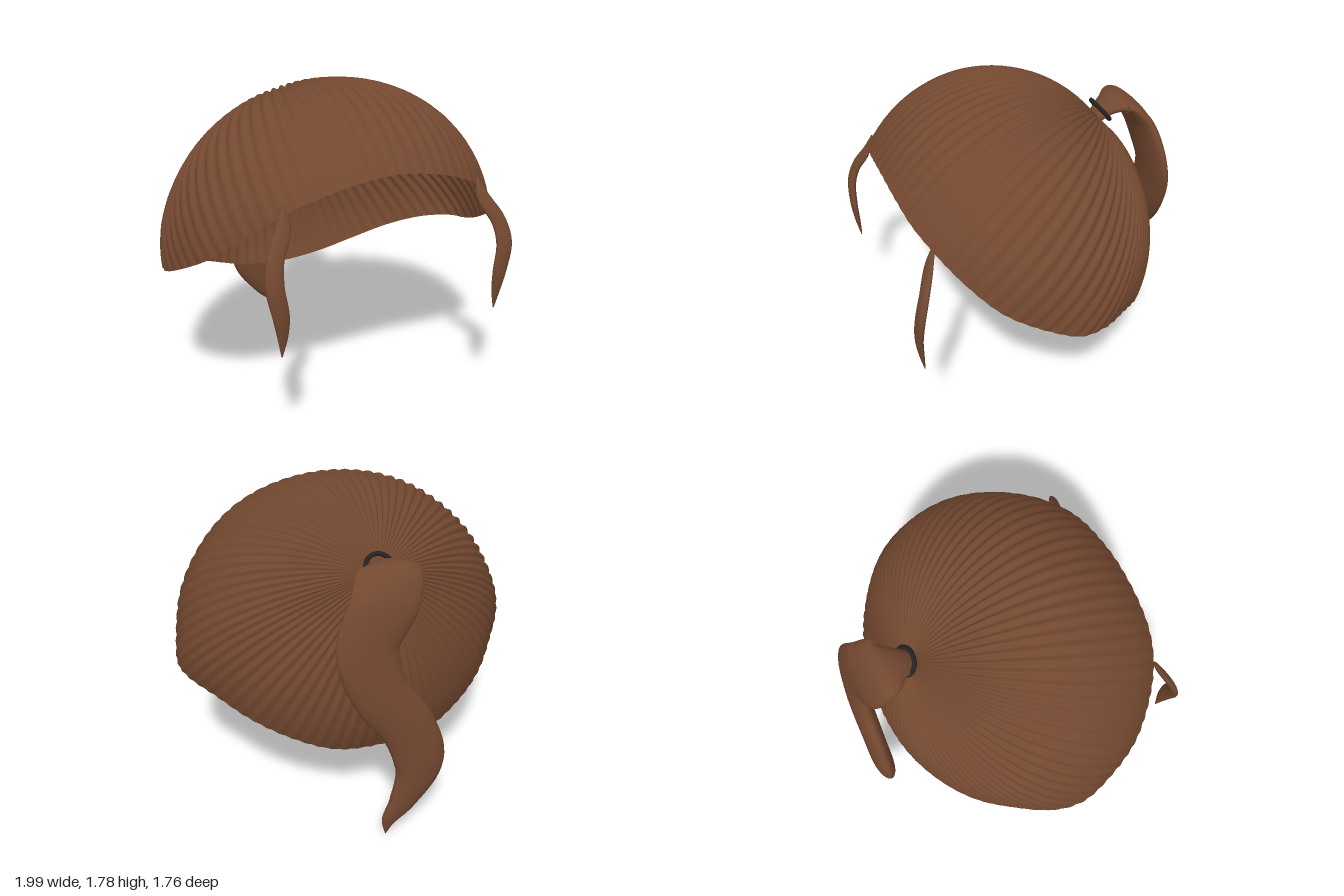
import * as THREE from 'three';

const V = (x, y, z) => new THREE.Vector3(x, y, z);
const hair = new THREE.MeshStandardMaterial({ color: 0x734830, side: THREE.DoubleSide });
const band = new THREE.MeshStandardMaterial({ color: 0x222222 });

// Surface from rows of points; each row is a closed ring
function loft(rows) {
  const n = rows[0].length, pos = [], idx = [];
  rows.forEach(row => row.forEach(p => pos.push(p.x, p.y, p.z)));
  for (let i = 0; i < rows.length - 1; i++) {
    for (let j = 0; j < n; j++) {
      const k = (j + 1) % n;
      const a = i * n + j, b = i * n + k, c = b + n, d = a + n;
      idx.push(a, b, c, a, c, d);
    }
  }
  const g = new THREE.BufferGeometry();
  g.setAttribute('position', new THREE.Float32BufferAttribute(pos, 3));
  g.setIndex(idx);
  g.computeVertexNormals();
  return g;
}

// Combed cap: ridges run over an ellipsoid from the gathering point to the hairline
function capGeometry() {
  const half = [
    [0, 1.41, 0.82], [0.25, 1.38, 0.81], [0.42, 1.33, 0.785], [0.57, 1.26, 0.73],
    [0.72, 1.14, 0.63], [0.86, 1.0, 0.48], [0.95, 0.89, 0.28], [0.99, 0.82, 0.1],
    [0.96, 0.8, -0.05], [0.85, 0.755, -0.22], [0.7, 0.67, -0.39], [0.5, 0.57, -0.51],
    [0.28, 0.49, -0.58], [0, 0.46, -0.59],
  ].map(p => V(...p));
  const left = half.slice(1, -1).reverse();
  const mirrored = half.map(p => V(-p.x, p.y, p.z));
  const rim = new THREE.CatmullRomCurve3([...mirrored, ...left], true);
  rim.arcLengthDivisions = 800;

  const centre = V(0, 0.85, 0.14), radii = V(1, 0.93, 0.83);
  const ridges = 76, perRidge = 6, count = ridges * perRidge, steps = 28;
  const unit = p => p.clone().sub(centre).divide(radii);
  const pole = unit(V(0, 1.48, -0.49));
  const poleDir = pole.clone().normalize();
  const ends = rim.getSpacedPoints(count).slice(0, count).map(unit);
  const rows = [];
  for (let i = 0; i <= steps; i++) {
    const t = i / steps;
    rows.push(ends.map((end, j) => {
      const endDir = end.clone().normalize();
      const angle = poleDir.angleTo(endDir);
      const p = poleDir.clone().multiplyScalar(Math.sin((1 - t) * angle))
        .addScaledVector(endDir, Math.sin(t * angle)).divideScalar(Math.sin(angle));
      const blend = t * t * t;
      const size = 1 + (end.length() - 1) * blend - 0.05 * Math.exp(-t * 22);
      const ridge = 0.009 * Math.cos(j / perRidge * Math.PI * 2) * Math.min(1, t * 4) * (1 - 0.7 * blend);
      return p.multiplyScalar(size + ridge).multiply(radii).add(centre);
    }));
  }
  return loft(rows);
}

// Flattened tapering strand; each station is [x, y, z, halfWidth, halfThickness]
function strandGeometry(stations, steps = 60, sides = 24) {
  const path = new THREE.CatmullRomCurve3(stations.map(s => V(s[0], s[1], s[2])));
  const size = new THREE.CatmullRomCurve3(stations.map(s => V(s[3], s[4], 0)), false, 'catmullrom');
  const rows = [];
  for (let i = 0; i <= steps; i++) {
    const t = i / steps;
    const p = path.getPoint(t), tangent = path.getTangent(t), s = size.getPoint(t);
    const wide = V(1, 0, 0).addScaledVector(tangent, -tangent.x).normalize();
    const thick = tangent.clone().cross(wide);
    rows.push(Array.from({ length: sides }, (_, j) => {
      const a = j / sides * Math.PI * 2;
      return p.clone().addScaledVector(wide, Math.cos(a) * s.x).addScaledVector(thick, Math.sin(a) * s.y);
    }));
  }
  return loft(rows);
}

export function createModel() {
  const model = new THREE.Group();
  const add = (name, geometry, material = hair) => {
    const mesh = new THREE.Mesh(geometry, material);
    mesh.name = name;
    model.add(mesh);
    return mesh;
  };

  add('hairCap', capGeometry());

  // Ponytail arches out of the band, then hangs in an S
  add('ponytail', strandGeometry([
    [0, 1.47, -0.45, 0.06, 0.03],
    [0, 1.53, -0.53, 0.10, 0.04],
    [0, 1.545, -0.61, 0.17, 0.045],
    [0.05, 1.44, -0.695, 0.185, 0.05],
    [0.17, 1.2, -0.75, 0.17, 0.05],
    [0.11, 0.95, -0.778, 0.155, 0.06],
    [-0.05, 0.7, -0.8, 0.15, 0.06],
    [-0.12, 0.45, -0.812, 0.145, 0.06],
    [-0.03, 0.22, -0.812, 0.085, 0.045],
    [0.05, 0.1, -0.81, 0.045, 0.025],
    [0.07, 0.005, -0.81, 0.003, 0.003],
  ], 90, 32));

  // Band around the root of the ponytail
  const tie = add('hairTie', new THREE.TorusGeometry(0.075, 0.013, 12, 40), band);
  tie.position.set(0, 1.505, -0.485);
  tie.lookAt(0, 1.505 + 0.63, -0.485 - 0.77);

  // Wavy locks framing the face
  for (const side of [1, -1]) {
    add(side > 0 ? 'leftLock' : 'rightLock', strandGeometry([
      [0.57, 1.31, 0.72, 0.005, 0.005],
      [0.59, 1.2, 0.762, 0.04, 0.016],
      [0.66, 1.07, 0.82, 0.046, 0.02],
      [0.68, 0.95, 0.855, 0.05, 0.022],
      [0.655, 0.8, 0.865, 0.045, 0.02],
      [0.645, 0.69, 0.858, 0.03, 0.015],
      [0.645, 0.57, 0.845, 0.003, 0.003],
    ].map(([x, ...rest]) => [side * x, ...rest]), 50, 20));
  }
  return model;
}
